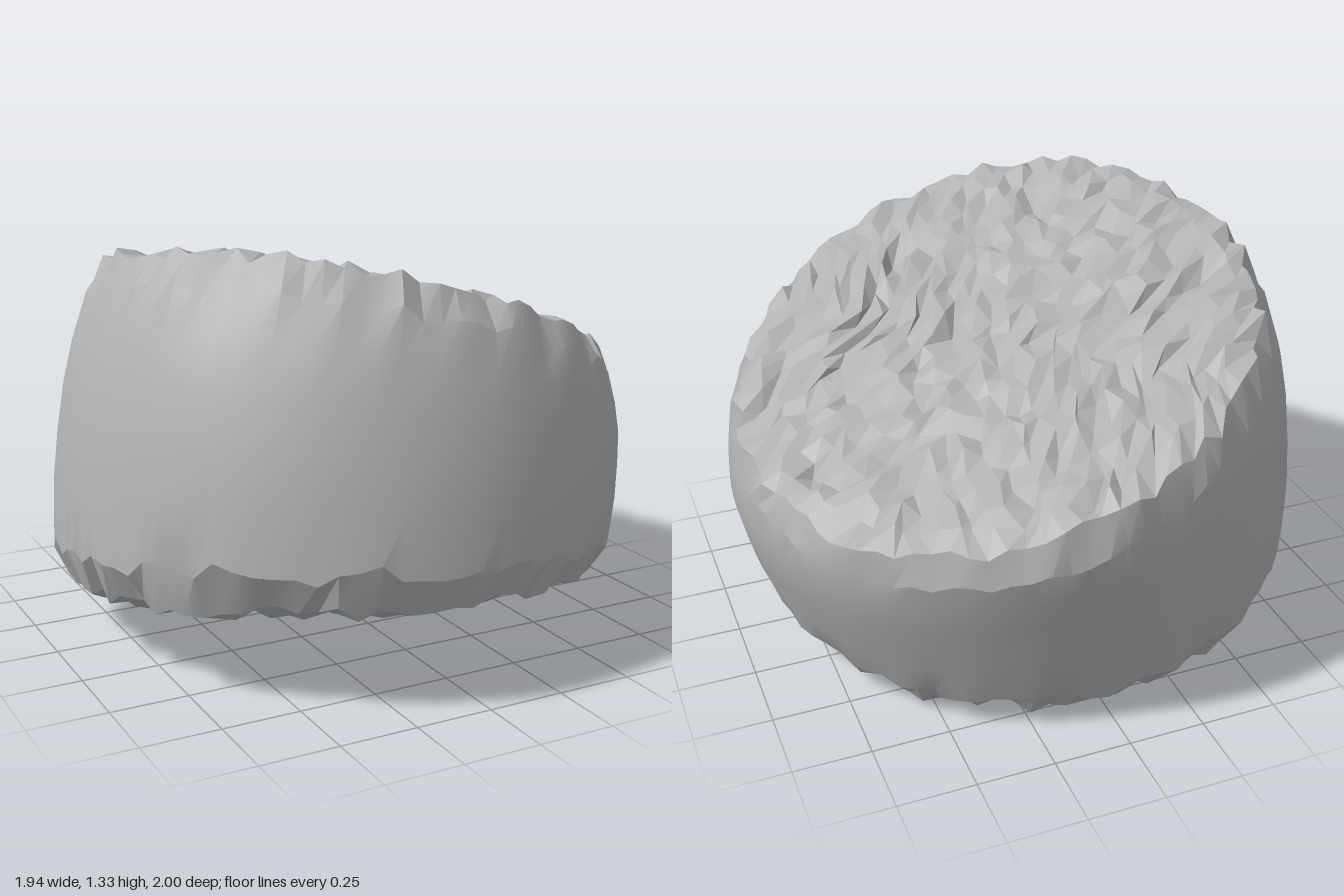
import * as THREE from 'three';
import { toCreasedNormals } from 'three/addons/utils/BufferGeometryUtils.js';

const N = 24;          // cells across each broken face
const SEG = 4 * N;     // points around the rim

// Seeded noise in -1..1
const noise = (n) => {
  const s = Math.sin(n * 12.9898 + 4.1) * 43758.5453;
  return 2 * (s - Math.floor(s)) - 1;
};

// The two tilted planes that cut the stone
const lowPlane = (x, z) => 0.165 - 0.05 * x + 0.165 * z;
const highPlane = (x, z) => 1.085 - 0.31 * x + 0.205 * z;

// Cross-sections from bottom to top: t, centre x, radius x, centre z, radius z
const RINGS = [
  [0.00, -0.05, 0.87, 0.075, 0.875],
  [0.13, -0.045, 0.928, 0.06, 0.94],
  [0.30, -0.018, 0.94, 0.035, 0.947],
  [0.45, 0.008, 0.938, 0.01, 0.947],
  [0.60, 0.037, 0.93, -0.018, 0.943],
  [0.73, 0.06, 0.908, -0.047, 0.937],
  [0.87, 0.088, 0.872, -0.078, 0.92],
  [1.00, 0.105, 0.825, -0.10, 0.87],
];
const LAST = RINGS.length - 1;

function ringPoint(j, k) {
  k = ((k % SEG) + SEG) % SEG;
  let [t, cx, rx, cz, rz] = RINGS[j];
  const angle = (k / SEG) * Math.PI * 2;
  const rim = j === 0 || j === LAST;
  const s = rim ? 1 + 0.022 * noise(k * 3 + j * 311) : 1;
  const x = cx + rx * s * Math.cos(angle);
  const z = cz + rz * s * Math.sin(angle);
  // Chipped rims are ragged; the rings beside them only slightly
  if (rim) t += 0.028 * noise(k * 7 + j * 97) + (j ? -0.015 : 0.015);
  else if (j === 1 || j === LAST - 1) t += 0.03 * noise(k * 5 + j * 53);
  return [x, THREE.MathUtils.lerp(lowPlane(x, z), highPlane(x, z), t), z];
}

// A broken face: a square grid pressed into a disc that meets the rim exactly
function facePoint(top, i, j) {
  const a = (2 * i) / N - 1, b = (2 * j) / N - 1;
  let r = 0, angle = 0;
  if (a * a > b * b) { r = a; angle = (Math.PI / 4) * (b / a); }
  else if (b !== 0) { r = b; angle = Math.PI / 2 - (Math.PI / 4) * (a / b); }
  const u = r * Math.cos(angle), v = r * Math.sin(angle);
  const ring = top ? LAST : 0;
  if (i === 0 || j === 0 || i === N || j === N) {
    return ringPoint(ring, Math.round((Math.atan2(v, u) / (2 * Math.PI)) * SEG));
  }
  const [, cx, rx, cz, rz] = RINGS[ring];
  const id = i * 41 + j * 1.37 + (top ? 0 : 500);
  const x = cx + rx * u + 0.02 * noise(id + 0.3);
  const z = cz + rz * v + 0.02 * noise(id + 0.6);
  let bump = 0.021 * noise(id);
  if (noise(id + 9.7) > 0.93) bump -= 0.035; // small pits
  return [x, top ? highPlane(x, z) + bump : lowPlane(x, z) - bump, z];
}

// Grid surface from a point function
function gridSurface(cols, rows, point, flip, crease) {
  const pos = [], index = [];
  for (let j = 0; j <= rows; j++) for (let i = 0; i <= cols; i++) pos.push(...point(i, j));
  for (let j = 0; j < rows; j++) for (let i = 0; i < cols; i++) {
    const a = j * (cols + 1) + i, b = a + 1, c = a + cols + 1, d = c + 1;
    if (flip) index.push(a, b, c, b, d, c);
    else index.push(a, c, b, b, c, d);
  }
  const g = new THREE.BufferGeometry();
  g.setAttribute('position', new THREE.Float32BufferAttribute(pos, 3));
  g.setIndex(index);
  return toCreasedNormals(g, crease);
}

export function createModel() {
  const group = new THREE.Group();
  group.name = 'brokenStone';
  const stone = new THREE.MeshStandardMaterial({ color: 0xb2b2b2 });
  stone.name = 'stoneGrey';
  const add = (name, geometry) => {
    const mesh = new THREE.Mesh(geometry, stone);
    mesh.name = name;
    group.add(mesh);
  };

  // Smooth bulging wall with chipped rims
  add('sideWall', gridSurface(SEG, LAST, (k, j) => ringPoint(j, k), false, 0.4));
  // Rough upper and lower faces
  add('topFace', gridSurface(N, N, (i, j) => facePoint(true, i, j), false, 0.1));
  add('bottomFace', gridSurface(N, N, (i, j) => facePoint(false, i, j), true, 0.1));

  // Stand on the ground, centred
  const box = new THREE.Box3().setFromObject(group);
  const mid = box.getCenter(new THREE.Vector3());
  for (const mesh of group.children) mesh.geometry.translate(-mid.x, -box.min.y, -mid.z);
  return group;
}
